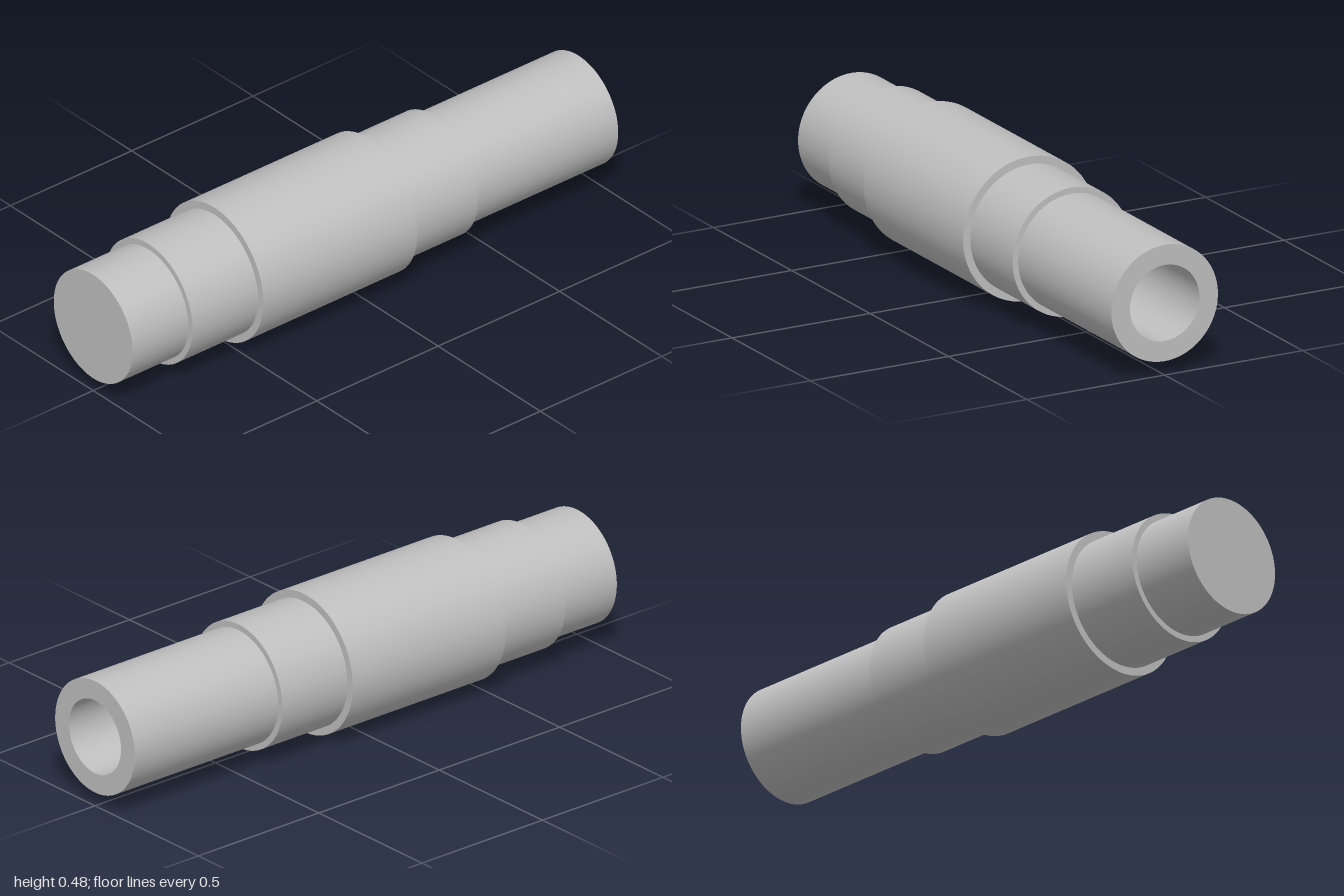
import * as THREE from 'three';
import { mergeGeometries } from 'three/addons/utils/BufferGeometryUtils.js';

const SIDES = 96;
const AXIS_HEIGHT = 0.239;

// Each profile edge is turned on its own, so the corners between edges stay sharp.
function turned(name, profile, material) {
  const edges = [];
  for (let i = 0; i < profile.length - 1; i++) {
    const ends = [profile[i], profile[i + 1]].map(([x, r]) => new THREE.Vector2(r, x));
    edges.push(new THREE.LatheGeometry(ends, SIDES));
  }
  const geometry = mergeGeometries(edges);
  geometry.rotateZ(-Math.PI / 2); // lathe axis onto +x
  geometry.translate(0, AXIS_HEIGHT, 0);
  const mesh = new THREE.Mesh(geometry, material);
  mesh.name = name;
  return mesh;
}

export function createModel() {
  const group = new THREE.Group();
  group.name = 'steppedShaft';
  const steel = new THREE.MeshStandardMaterial({ color: 0xbfbfbf });
  steel.name = 'steel grey';

  const end = 0.193, shoulder = 0.213, body = 0.239, bore = 0.126;

  // Profiles are [x, radius], running from the closed end to the bored end.
  group.add(
    turned('closedEnd', [[-1, 0], [-1, end], [-0.77, end]], steel),
    turned('rightShoulder', [[-0.77, end], [-0.77, shoulder], [-0.5, shoulder]], steel),
    turned('centralBody', [[-0.5, shoulder], [-0.5, body], [0.135, body], [0.135, shoulder]], steel),
    turned('leftShoulder', [[0.135, shoulder], [0.405, shoulder], [0.405, end]], steel),
    turned('boredEnd', [[0.405, end], [1, end], [1, bore]], steel),
    // Blind bore with a flat floor
    turned('bore', [[1, bore], [0.405, bore], [0.405, 0]], steel),
  );
  return group;
}
